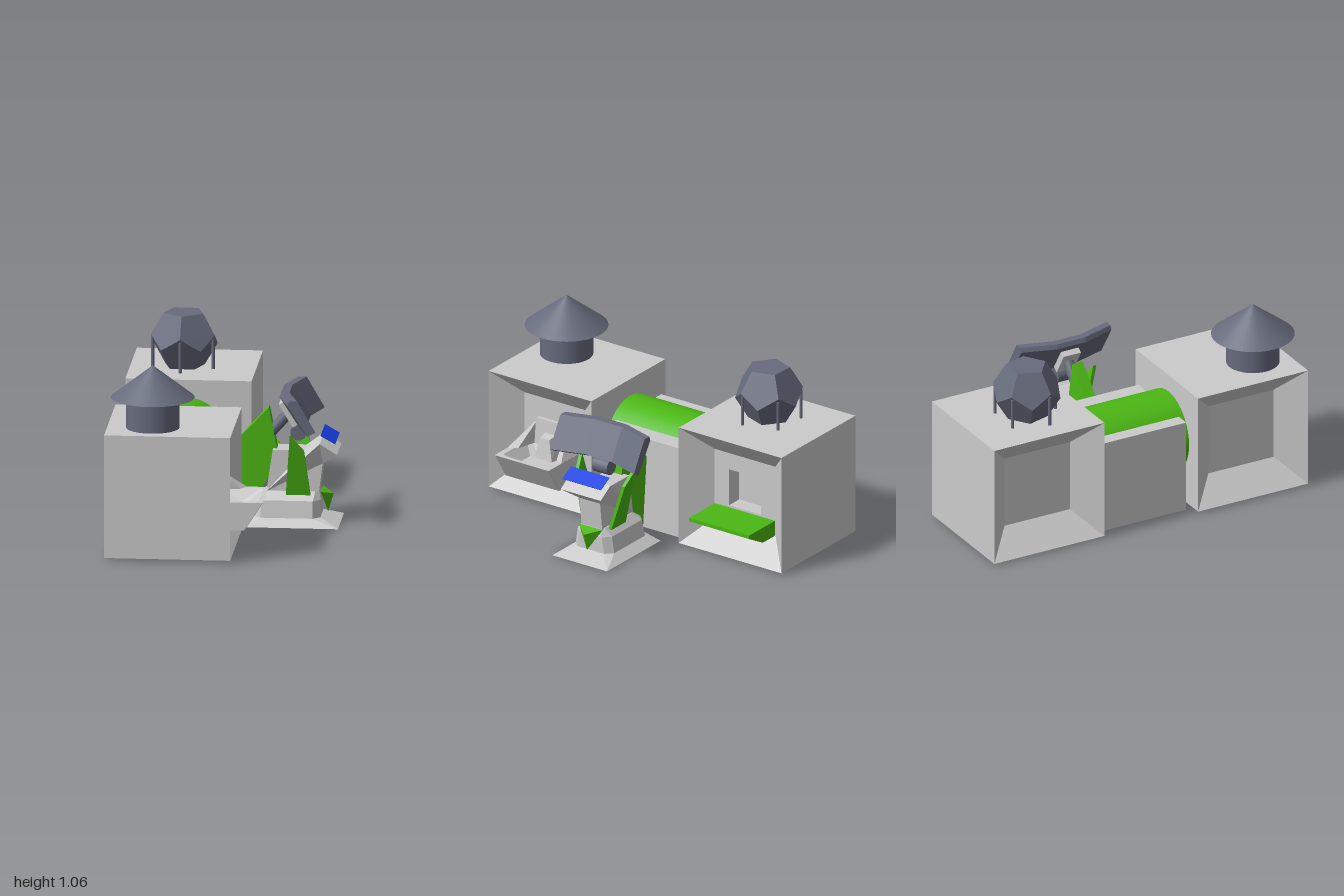
import * as THREE from 'three';
import { ConvexGeometry } from 'three/addons/geometries/ConvexGeometry.js';

const paint = (color, flatShading = true) =>
  new THREE.MeshStandardMaterial({ color, flatShading, side: THREE.DoubleSide });
const grey = paint(0xcccccc), green = paint(0x4cb814), blue = paint(0x1540e0);
const dark = paint(0x666b7c), darkSmooth = paint(0x666b7c, false), greenSmooth = paint(0x4cb814, false);

function add(parent, name, geometry, material, x = 0, y = 0, z = 0) {
  const mesh = new THREE.Mesh(geometry, material);
  mesh.name = name;
  mesh.position.set(x, y, z);
  parent.add(mesh);
  return mesh;
}

// Skin over rings of equal point count, wound counter-clockwise about the direction of travel
function loft(rings) {
  const pos = [];
  const tri = (a, b, c) => pos.push(...a, ...b, ...c);
  const n = rings[0].length;
  for (let r = 0; r + 1 < rings.length; r++) {
    const a = rings[r], b = rings[r + 1];
    for (let i = 0; i < n; i++) {
      const j = (i + 1) % n;
      tri(a[i], a[j], b[j]);
      tri(a[i], b[j], b[i]);
    }
  }
  const first = rings[0], last = rings[rings.length - 1];
  for (let i = 1; i + 1 < n; i++) {
    tri(first[0], first[i + 1], first[i]);
    tri(last[0], last[i], last[i + 1]);
  }
  const g = new THREE.BufferGeometry();
  g.setAttribute('position', new THREE.Float32BufferAttribute(pos, 3));
  g.computeVertexNormals();
  return g;
}

// Square ring across x, and chamfered rectangular ring across y
const squareRing = (x, h) => [[x, -h, -h], [x, h, -h], [x, h, h], [x, -h, h]];
const floorRing = (y, x0, x1, z0, z1, c) => [
  [x0 + c, y, z0], [x0, y, z0 + c], [x0, y, z1 - c], [x0 + c, y, z1],
  [x1 - c, y, z1], [x1, y, z1 - c], [x1, y, z0 + c], [x1 - c, y, z0]];

// Flat outline in x and y, given thickness along z
function plate(outline, depth) {
  const shape = new THREE.Shape(outline.map(([x, y]) => new THREE.Vector2(x, y)));
  return new THREE.ExtrudeGeometry(shape, { depth, bevelEnabled: false }).translate(0, 0, -depth / 2);
}

// Move vertices by a rule
function warp(g, rule) {
  const p = g.attributes.position, v = new THREE.Vector3();
  for (let i = 0; i < p.count; i++) {
    rule(v.fromBufferAttribute(p, i));
    p.setXYZ(i, v.x, v.y, v.z);
  }
  g.computeVertexNormals();
  return g;
}

const hull = pts => new ConvexGeometry(pts.map(p => new THREE.Vector3(...p)));

function addModules(root) {
  // Cube rooms with funnel-shaped recesses on both x sides
  const shell = [squareRing(-0.475, 0.206), squareRing(-0.61, 0.347),
    squareRing(0.085, 0.347), squareRing(-0.055, 0.206)];
  add(root, 'frontModule', loft(shell), grey, 0, 0.362, 0.63);
  add(root, 'backModule', loft([...shell, squareRing(-0.055, 0.108), squareRing(-0.15, 0.108)]),
    grey, 0, 0.36, -0.655);

  // Corridor between the rooms, with a round tunnel inside
  add(root, 'corridor', new THREE.BoxGeometry(0.53, 0.535, 0.53), grey, -0.265, 0.2675, -0.012);
  add(root, 'tunnel', new THREE.CylinderGeometry(0.23, 0.23, 0.6, 40).rotateX(Math.PI / 2),
    greenSmooth, -0.28, 0.38, -0.014);

  // Bench in the back room
  add(root, 'bench', plate([[-0.06, 0.15], [0.06, 0.15], [0.19, 0.22], [0.19, 0.24], [-0.06, 0.24]], 0.406),
    green, 0, 0, -0.655);
}

function addBasin(root) {
  const basin = new THREE.Group();
  basin.name = 'basin';
  basin.position.z = 0.636;
  root.add(basin);
  add(basin, 'bowl', loft([
    floorRing(0.148, -0.055, 0.15, -0.182, 0.182, 0.003),
    floorRing(0.305, -0.055, 0.25, -0.182, 0.182, 0.003),
    floorRing(0.305, -0.03, 0.225, -0.15, 0.15, 0.02),
    floorRing(0.24, 0, 0.14, -0.1, 0.1, 0.03)]), grey);
  add(basin, 'backsplash', hull([-1, 1].flatMap(s => [
    [-0.055, 0.3, s * 0.182], [-0.055, 0.45, s * 0.1], [-0.03, 0.45, s * 0.1], [-0.02, 0.3, s * 0.182]])), grey);
  for (const s of [-1, 1]) {
    add(basin, 'cheek', hull([[-0.05, 0.3, s * 0.182], [-0.05, 0.44, s * 0.1], [0.13, 0.305, s * 0.182],
      [0.1, 0.305, s * 0.13], [-0.05, 0.3, s * 0.1]]), grey);
  }
  add(basin, 'spout', hull([-1, 1].flatMap(s => [
    [-0.04, 0.25, s * 0.07], [-0.04, 0.38, s * 0.04], [0.03, 0.37, s * 0.03], [0.05, 0.25, s * 0.06]])), grey);
}

function addRoofTanks(root) {
  // Round tower with a conical roof
  add(root, 'tower', new THREE.CylinderGeometry(0.147, 0.147, 0.18, 40), darkSmooth, -0.36, 0.795, 0.77);
  add(root, 'towerRoof', new THREE.ConeGeometry(0.23, 0.18, 40), darkSmooth, -0.36, 0.97, 0.77);

  // Twelve-sided tank standing on five legs
  const tank = new THREE.Group();
  tank.name = 'tank';
  tank.position.set(-0.315, 0.86, -0.63);
  root.add(tank);
  const R = 0.19, points = [];
  for (let i = 0; i < 5; i++) {
    const a = (20 + 72 * i) * Math.PI / 180, b = a + Math.PI / 5;
    for (const [r, y] of [[0.607, 0.795], [0.982, 0.188]]) {
      points.push([R * r * Math.cos(a), R * y, R * r * Math.sin(a)]);
      points.push([R * r * Math.cos(b), -R * y, R * r * Math.sin(b)]);
    }
    add(tank, 'tankLeg', new THREE.CylinderGeometry(0.009, 0.009, 0.17, 10), darkSmooth,
      0.176 * Math.cos(a), -0.068, 0.176 * Math.sin(a));
  }
  add(tank, 'tankBody', hull(points), dark);
}

function addConsole(root) {
  const desk = new THREE.Group();
  desk.name = 'console';
  desk.position.z = -0.012;
  root.add(desk);

  // Flared foot and chamfered plinth
  add(desk, 'foot', loft([
    floorRing(0.003, 0.1, 0.605, -0.185, 0.185, 0.002),
    floorRing(0.045, 0.13, 0.5, -0.13, 0.13, 0.04),
    floorRing(0.14, 0.14, 0.5, -0.115, 0.115, 0.04),
    floorRing(0.185, 0.2, 0.49, -0.075, 0.075, 0.02)]), grey);

  // Pedestal whose head widens towards the user
  add(desk, 'pedestal', warp(plate([[0.2, 0.18], [0.49, 0.18], [0.51, 0.345], [0.595, 0.41],
    [0.5, 0.47], [0.41, 0.415], [0.235, 0.415]], 0.14), v => {
    if (v.x > 0.45 && v.y > 0.38) v.z *= 1.93;
  }), grey);
  const panel = add(desk, 'touchPanel', new THREE.BoxGeometry(0.093, 0.003, 0.26), blue, 0.545, 0.493, 0);
  panel.rotation.z = Math.atan2(-0.045, 0.08);
  add(desk, 'wedge', hull([[0.5, 0.185, 0.08], [0.5, 0.185, -0.08], [0.565, 0.16, 0], [0.535, 0.058, 0]]), green);

  // Rear fin and two leaning side fins
  add(desk, 'rearFin', plate([[0.02, 0.44], [0.055, 0.008], [0.105, 0.008], [0.145, 0.14],
    [0.235, 0.3], [0.255, 0.415], [0.21, 0.645]], 0.065), green);
  for (const s of [-1, 1]) {
    add(desk, 'sideFin', warp(plate([[0.31, 0.17], [0.445, 0.17], [0.415, 0.435], [0.34, 0.525]], 0.02), v => {
      v.z += s * (0.09 + (v.y - 0.17) * 0.26);
    }), green);
  }

  // Bent display: one slab section swept across z, its ends pushed forward
  const section = [[0.335, 0.72], [0.345, 0.745], [0.39, 0.745], [0.49, 0.572], [0.445, 0.547]];
  const bends = [[-0.284, 0], [-0.09, -0.06], [0.09, -0.06], [0.284, 0]];
  add(desk, 'display', loft(bends.map(([z, dx]) => section.map(([x, y]) => [x + dx, y, z]).reverse())), dark);

  // Bracket, hinge and arm that carry the display
  const bracket = add(desk, 'bracket', new THREE.BoxGeometry(0.15, 0.045, 0.11), grey, 0.325, 0.615, 0);
  bracket.rotation.z = Math.atan2(-0.125, 0.075);
  add(desk, 'hinge', new THREE.CylinderGeometry(0.045, 0.045, 0.1, 24).rotateX(Math.PI / 2),
    darkSmooth, 0.375, 0.51, 0);
  const arm = add(desk, 'arm', new THREE.CylinderGeometry(0.03, 0.03, 0.15, 20), darkSmooth, 0.27, 0.555, 0);
  arm.rotation.z = -Math.atan2(0.08, 0.09);
}

export function createModel() {
  const root = new THREE.Group();
  root.name = 'outpost';
  addModules(root);
  addBasin(root);
  addRoofTanks(root);
  addConsole(root);
  return root;
}
